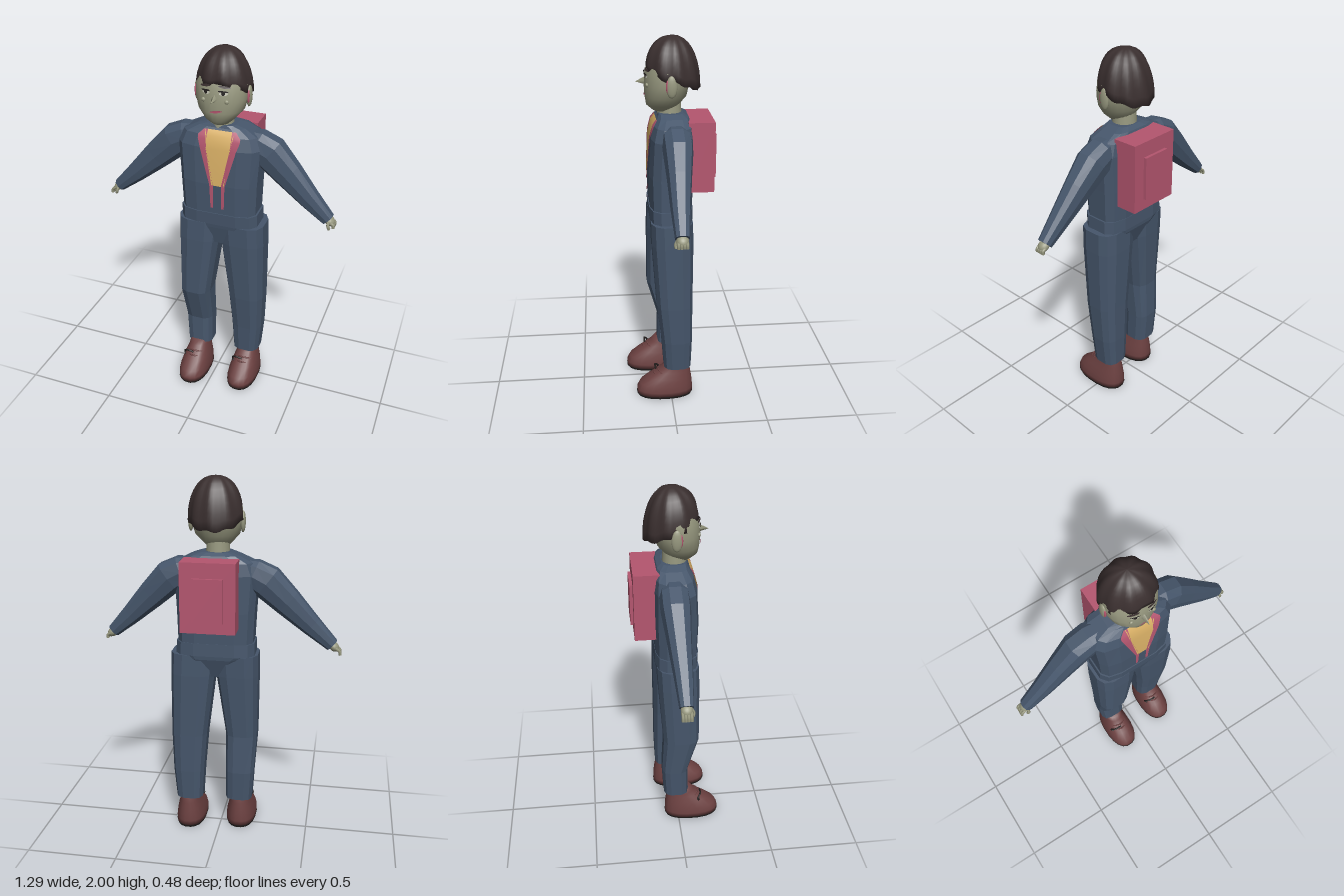
import * as THREE from 'three';

const mat = (name, color, side = THREE.FrontSide) => {
  const m = new THREE.MeshStandardMaterial({ color, side });
  m.name = name;
  return m;
};
const cloth = mat('slate cloth', 0x46566b), skin = mat('grey green skin', 0x97987f);
const hairMat = mat('dark brown hair', 0x3a2f2f), pink = mat('rose', 0xb4566f, THREE.DoubleSide);
const yellow = mat('mustard', 0xd9b066, THREE.DoubleSide), leather = mat('oxblood leather', 0x6c4141);
const black = mat('near black', 0x231f1e, THREE.DoubleSide), white = mat('eye white', 0xc9c8b8, THREE.DoubleSide);

const spow = (v, e) => Math.sign(v) * Math.abs(v) ** e;

// Skin a list of closed rings { c, u, v }, where path direction x v = u
function loft(rings, n, e = 1, smooth = false) {
  const pos = [], idx = [];
  for (const { c, u, v } of rings) {
    for (let j = 0; j < n; j++) {
      const a = ((j + 0.5) / n) * Math.PI * 2;
      const p = c.clone().addScaledVector(u, spow(Math.cos(a), e)).addScaledVector(v, spow(Math.sin(a), e));
      pos.push(p.x, p.y, p.z);
    }
  }
  const last = rings.length - 1, base = rings.length * n;
  pos.push(...rings[0].c.toArray(), ...rings[last].c.toArray());
  for (let j = 0; j < n; j++) {
    const k = (j + 1) % n;
    for (let i = 0; i < last; i++) {
      const a = i * n + j, b = i * n + k, c = a + n, d = b + n;
      idx.push(a, c, b, b, c, d);
    }
    idx.push(base, j, k, base + 1, last * n + k, last * n + j);
  }
  let g = new THREE.BufferGeometry();
  g.setAttribute('position', new THREE.Float32BufferAttribute(pos, 3));
  g.setIndex(idx);
  if (!smooth) g = g.toNonIndexed();
  g.computeVertexNormals();
  return g;
}
const V = (x, y, z) => new THREE.Vector3(x, y, z);
// Level ring from [y, centre x, centre z, radius x, radius z]
const level = ([y, cx, cz, rx, rz]) => ({ c: V(cx, y, cz), u: V(rx, 0, 0), v: V(0, 0, rz) });
// Level ring from [y, x min, x max, z min, z max]
const span = ([y, x0, x1, z0, z1]) => level([y, (x0 + x1) / 2, (z0 + z1) / 2, (x1 - x0) / 2, (z1 - z0) / 2]);

// Front surface depth of a stack of level rings
function frontZ(rings, e, x, y) {
  let i = 0;
  while (i < rings.length - 2 && y > rings[i + 1][0]) i++;
  const t = (y - rings[i][0]) / (rings[i + 1][0] - rings[i][0]);
  const [, cx, cz, rx, rz] = rings[i].map((v, k) => v + (rings[i + 1][k] - v) * t);
  return cz + rz * Math.max(0, 1 - Math.abs((x - cx) / rx) ** (2 / e)) ** (e / 2);
}

const torsoRings = [[1.1, 0.022, -0.005, 0.206, 0.112], [1.3, 0.02, -0.005, 0.213, 0.118],
  [1.5, 0.018, -0.01, 0.225, 0.112], [1.565, 0.02, -0.015, 0.2, 0.1],
  [1.6, 0.022, -0.02, 0.13, 0.08], [1.615, 0.022, -0.01, 0.08, 0.065]];
const headRings = [[1.625, 0.022, 0.03, 0.045, 0.05], [1.655, 0.022, 0.03, 0.078, 0.085],
  [1.7, 0.022, 0.015, 0.118, 0.108], [1.76, 0.022, 0.01, 0.134, 0.116],
  [1.83, 0.022, 0, 0.135, 0.12], [1.9, 0.022, -0.01, 0.115, 0.105], [1.95, 0.022, -0.015, 0.07, 0.07]];

// Thin strip over the torso front, rows of [y, x left, x right]
function strip(rows) {
  const pos = [], idx = [];
  rows.forEach(([y, a, b], i) => {
    for (const x of [a, b]) pos.push(x, y, frontZ(torsoRings, 0.5, x, y) + 0.005);
    if (i) { const k = i * 2; idx.push(k - 2, k, k - 1, k - 1, k, k + 1); }
  });
  const g = new THREE.BufferGeometry();
  g.setAttribute('position', new THREE.Float32BufferAttribute(pos, 3));
  g.setIndex(idx.reverse());
  g.computeVertexNormals();
  return g;
}

// Small oval wrapped onto the face
function faceOval(x, y, w, h, tilt, off) {
  const g = new THREE.CircleGeometry(1, 14).scale(w, h, 1).rotateZ(tilt).translate(x, y, 0);
  const p = g.attributes.position;
  for (let i = 0; i < p.count; i++) p.setZ(i, frontZ(headRings, 1, p.getX(i), p.getY(i)) + off);
  g.computeVertexNormals();
  return g;
}

// Ridged cap of hair, longer at the back than over the forehead
function hairGeometry() {
  const rings = 10, n = 54, pos = [], idx = [];
  for (let i = 0; i <= rings; i++) {
    for (let j = 0; j < n; j++) {
      const a = (j / n) * Math.PI * 2, f = Math.sin(a);
      const edge = 1.79 + (f > 0 ? 0.055 * f ** 2 : 0.055 * f) + 0.006 * Math.cos(9 * a);
      const t = Math.min(i / (rings - 1), 1) * Math.PI / 2;
      const r = Math.sin(t) ** 0.88 * (i === rings ? 0.8 : 1) * (1 + 0.028 * Math.cos(9 * a + t));
      const y = 2 - (2 - edge) * (1 - Math.cos(t));
      pos.push(0.024 + 0.142 * r * Math.cos(a), y, -0.022 + 0.138 * r * f);
      if (i) {
        const k = (j + 1) % n, A = (i - 1) * n, B = i * n;
        idx.push(B + j, A + j, B + k, B + k, A + j, A + k);
      }
    }
  }
  const g = new THREE.BufferGeometry();
  g.setAttribute('position', new THREE.Float32BufferAttribute(pos, 3));
  g.setIndex(idx);
  g.computeVertexNormals();
  return g;
}

export function createModel() {
  const model = new THREE.Group();
  const add = (name, geo, material, parent = model) => {
    const m = new THREE.Mesh(geo, material);
    m.name = name;
    parent.add(m);
    return m;
  };
  const ball = (x, y, z, rx, ry, rz) => new THREE.SphereGeometry(1, 14, 10).scale(rx, ry, rz).translate(x, y, z);
  const box = (x0, x1, y0, y1, z0, z1) => new THREE.BoxGeometry(x1 - x0, y1 - y0, z1 - z0)
    .translate((x0 + x1) / 2, (y0 + y1) / 2, (z0 + z1) / 2);
  const rod = (name, pts, r, material, parent) => add(name,
    new THREE.TubeGeometry(new THREE.CatmullRomCurve3(pts), 8, r, 6), material, parent);

  // Jacket with open front
  add('jacket', loft(torsoRings.map(level), 12, 0.5), cloth);
  add('shirt', strip([[1.3, 0.002, 0.07], [1.5, -0.032, 0.098], [1.565, -0.042, 0.108], [1.592, -0.045, 0.108]]), yellow);
  const lapel = [[1.165, 0.023, 0.037], [1.3, 0.022, 0.042], [1.5, 0.063, 0.097], [1.545, 0.066, 0.112],
    [1.565, 0.066, 0.113], [1.592, 0.064, 0.085]];
  for (const s of [-1, 1]) {
    add('lapel', strip(lapel.map(([y, a, b]) => (s > 0 ? [y, 0.033 + a, 0.033 + b] : [y, 0.033 - b, 0.033 - a]))), pink);
  }

  // Trousers
  add('hips', loft([[0.935, -0.035, 0.09, -0.085, 0.085], [1.04, -0.16, 0.215, -0.12, 0.107],
    [1.06, -0.195, 0.24, -0.122, 0.11], [1.13, -0.193, 0.238, -0.12, 0.113]].map(span), 12, 0.5), cloth);
  const legs = {
    rightLeg: [[0.185, -0.185, -0.033, -0.085, 0.06], [0.36, -0.196, -0.033, -0.095, 0.055],
      [0.58, -0.208, -0.03, -0.085, 0.117], [0.94, -0.212, 0.022, -0.11, 0.117], [1.06, -0.21, 0.03, -0.115, 0.112]],
    leftLeg: [[0.185, 0.097, 0.25, -0.112, 0.042], [0.36, 0.087, 0.266, -0.117, 0.055],
      [0.58, 0.07, 0.274, -0.117, 0.08], [0.94, 0.026, 0.274, -0.12, 0.105], [1.06, 0.015, 0.27, -0.117, 0.108]],
  };
  for (const [name, rings] of Object.entries(legs)) add(name, loft(rings.map(span), 12, 0.65), cloth);

  // Shoes with soles and laces
  const shoeRings = [[0.012, -0.12, 0.195, 0.085], [0.04, -0.12, 0.197, 0.086], [0.075, -0.118, 0.18, 0.081],
    [0.115, -0.113, 0.13, 0.071], [0.15, -0.107, 0.08, 0.06], [0.175, -0.103, 0.05, 0.055], [0.2, -0.095, 0.03, 0.05]];
  for (const [name, x, z] of [['rightShoe', -0.112, 0.042], ['leftShoe', 0.178, -0.003]]) {
    const shoe = new THREE.Group();
    shoe.name = name;
    shoe.position.set(x, 0, z);
    model.add(shoe);
    add('shoeUpper', loft(shoeRings.map(([y, b, f, w]) => span([y, -w, w, b, f])), 20, 0.85, true), leather, shoe);
    add('sole', loft([[0, -0.082, 0.082, -0.117, 0.192], [0.014, -0.087, 0.087, -0.122, 0.199]].map(span), 20, 0.85), black, shoe);
    for (const [y, lz] of [[0.138, 0.1], [0.158, 0.077]]) {
      rod('lace', [V(-0.045, y - 0.012, lz - 0.02), V(0, y, lz), V(0.045, y - 0.012, lz - 0.02)], 0.005, leather, shoe);
    }
    rod('laceBow', [V(0, 0.155, 0.09), V(-0.04, 0.16, 0.09), V(-0.065, 0.13, 0.07), V(-0.05, 0.12, 0.085)], 0.005, black, shoe);
  }

  // Sleeves, cuffs and hands: [x, y, radius in plane, radius z, centre z]
  const armRings = [[0.11, 1.53, 0.055, 0.06, -0.02], [0.19, 1.505, 0.083, 0.076, -0.025], [0.26, 1.47, 0.092, 0.076, -0.026],
    [0.365, 1.37, 0.078, 0.062, -0.022], [0.49, 1.25, 0.056, 0.048, -0.016], [0.6, 1.15, 0.036, 0.036, -0.014]];
  for (const s of [-1, 1]) {
    const side = s > 0 ? 'left' : 'right';
    const at = (x, y, z) => V(s * x + 0.02 * (1 - x / 0.6), y - (s < 0 ? 0.02 * x / 0.6 : 0), z);
    const centres = armRings.map(([x, y, , , z]) => at(x, y, z));
    const rings = armRings.map(([, , r, rz], i) => {
      const d = centres[Math.min(i + 1, 5)].clone().sub(centres[Math.max(i - 1, 0)]).setZ(0).normalize();
      return { c: centres[i], u: V(d.y * r, -d.x * r, 0), v: V(0, 0, rz) };
    });
    add(side + 'Sleeve', loft(rings, 10, 0.8), cloth);
    const hand = new THREE.Group();
    hand.name = side + 'Hand';
    hand.position.copy(centres[5]);
    hand.rotation.z = s > 0 ? -0.75 : Math.PI + 0.75;
    model.add(hand);
    add('palm', ball(0.012, 0, 0, 0.032, 0.024, 0.03), skin, hand);
    for (let i = 0; i < 4; i++) {
      const z = (i - 1.5) * 0.014, reach = s > 0 ? 0.05 : 0.066;
      rod('finger', [V(0.015, 0, z), V(reach * 0.75, 0.006 * s, z), V(reach, -0.006 * s, z)], 0.0085, skin, hand);
    }
    rod('thumb', [V(0.005, 0, 0.022), V(0.025, -0.015 * s, 0.034), V(0.04, -0.022 * s, 0.03)], 0.008, skin, hand);
  }

  // Neck, head and hair
  add('neck', new THREE.CylinderGeometry(0.06, 0.066, 0.1, 16).translate(0.016, 1.625, -0.005), skin);
  add('head', loft(headRings.map(level), 24, 1, true), skin);
  add('hair', hairGeometry(), hairMat);

  // Face
  add('nose', new THREE.ConeGeometry(0.02, 0.065, 4).scale(1, 1, 1.3).rotateX(Math.PI / 2 + 0.1).translate(0.022, 1.775, 0.138), skin);
  for (const s of [-1, 1]) {
    const x = 0.022 + s * 0.045;
    add('eyeWhite', faceOval(x, 1.808, 0.021, 0.011, 0, 0.004), white);
    add('iris', faceOval(x, 1.808, 0.009, 0.01, 0, 0.006), black);
    add('eyelid', faceOval(x, 1.818, 0.025, 0.0045, -s * 0.1, 0.008), black);
    add('eyebrow', faceOval(x + s * 0.004, 1.84, 0.03, 0.006, -s * 0.15, 0.008), hairMat);
    add('cheekBump', ball(0.022 + s * 0.06, 1.765, frontZ(headRings, 1, 0.022 + s * 0.06, 1.765), 0.011, 0.011, 0.008), skin);
    add('ear', ball(0.022 + s * 0.137, 1.768, -0.005, 0.014, 0.056, 0.028), skin);
    add('innerEar', ball(0.022 + s * 0.139, 1.77, 0.013, 0.007, 0.035, 0.012), pink);
  }
  add('mouth', faceOval(0.03, 1.712, 0.033, 0.006, 0.15, 0.004), pink);

  // Backpack with raised pocket
  add('backpack', box(-0.11, 0.18, 1.22, 1.59, -0.225, -0.09), pink);
  add('backpackPocket', box(-0.045, 0.115, 1.28, 1.51, -0.241, -0.22), pink);
  return model;
}
